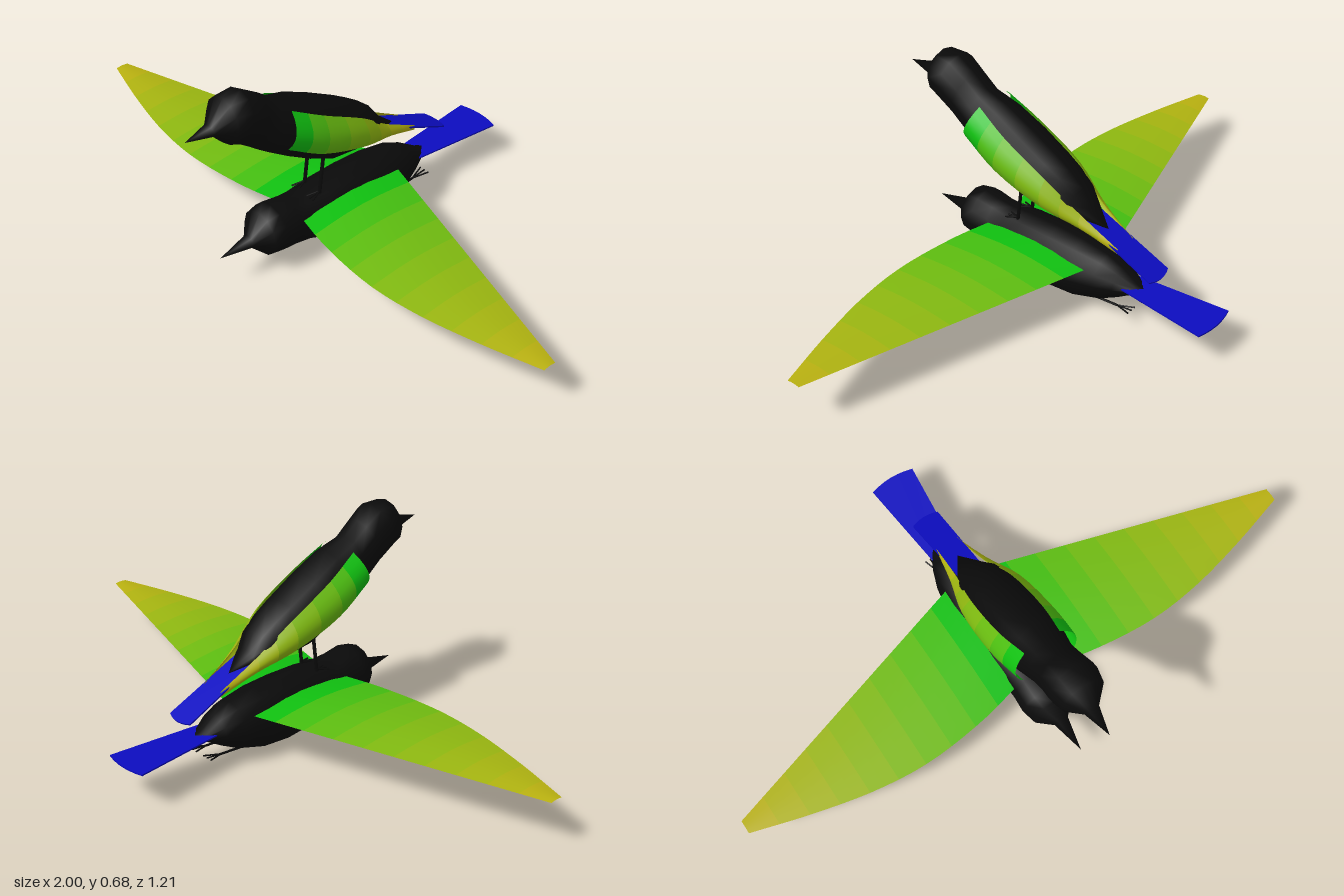
import * as THREE from 'three';
import { mergeVertices } from 'three/addons/utils/BufferGeometryUtils.js';

const mat = (color) => new THREE.MeshStandardMaterial({ color, side: THREE.DoubleSide });
const BLACK = mat(0x0a0a0a);
const BLUE = mat(0x0c0cc0);
const ROOT = new THREE.Color(0x10c010);
const TIP = new THREE.Color(0xb8b010);

function add(parent, name, geometry, material) {
  const mesh = new THREE.Mesh(geometry, material);
  mesh.name = name;
  parent.add(mesh);
  return mesh;
}

// Smooth surface from a point function over a grid
function surface(rows, cols, point) {
  const pos = [], idx = [];
  for (let i = 0; i <= rows; i++)
    for (let j = 0; j <= cols; j++) pos.push(...point(i / rows, j / cols, i));
  for (let i = 0; i < rows; i++)
    for (let j = 0; j < cols; j++) {
      const a = i * (cols + 1) + j, b = a + cols + 1;
      idx.push(a, a + 1, b, a + 1, b + 1, b);
    }
  let g = new THREE.BufferGeometry();
  g.setAttribute('position', new THREE.Float32BufferAttribute(pos, 3));
  g.setIndex(idx);
  g = mergeVertices(g, 1e-5);
  g.computeVertexNormals();
  return g;
}

// Body loft; each ring is [topZ, topY, bottomZ, bottomY, halfWidth]
function body(rings) {
  return surface(rings.length - 1, 12, (u, v, i) => {
    const [tz, ty, bz, by, w] = rings[i];
    const a = v * Math.PI * 2, c = Math.cos(a);
    return [w * Math.sin(a), (ty + by) / 2 + c * (ty - by) / 2, (tz + bz) / 2 + c * (tz - bz) / 2];
  });
}

// Wing cut into spanwise bands that fade from green to yellow
function wing(name, bands, cols, point) {
  const group = new THREE.Group();
  group.name = name;
  for (let k = 0; k < bands; k++) {
    const color = ROOT.clone().lerp(TIP, k / (bands - 1));
    add(group, 'featherBand', surface(2, cols, (u, v) => point((k + u) / bands, v)), mat(color));
  }
  return group;
}

// Thin flat tail running towards -z with a slightly rounded end
function tail(parent, w0, w1, length, y, z, tilt) {
  const s = new THREE.Shape();
  s.moveTo(-w0, 0);
  s.lineTo(w0, 0);
  s.lineTo(w1, length - 0.012);
  s.quadraticCurveTo(0, length + 0.012, -w1, length - 0.012);
  const g = new THREE.ExtrudeGeometry(s, { depth: 0.005, bevelEnabled: false, curveSegments: 6 });
  g.rotateX(-Math.PI / 2);
  const mesh = add(parent, 'tail', g, BLUE);
  mesh.position.set(0, y, z);
  mesh.rotation.x = tilt;
}

// Thin rod between two points
function rod(parent, name, from, to, r) {
  const a = new THREE.Vector3(...from), b = new THREE.Vector3(...to);
  const mesh = add(parent, name, new THREE.CylinderGeometry(r, r, a.distanceTo(b), 6), BLACK);
  mesh.position.copy(a).lerp(b, 0.5);
  mesh.quaternion.setFromUnitVectors(new THREE.Vector3(0, 1, 0), b.sub(a).normalize());
}

const spline = (pts) => new THREE.CatmullRomCurve3(pts.map((p) => new THREE.Vector3(...p)));

function flyingBird() {
  const bird = new THREE.Group();
  bird.name = 'flyingBird';
  const rings = [
    [0.5, 0.12, 0], [0.39, 0.145, 0.105, 0.025], [0.345, 0.21, 0.06, 0.075],
    [0.3, 0.218, 0.055, 0.085], [0.24, 0.21, 0.047, 0.08], [0.18, 0.206, 0.038, 0.085],
    [0.11, 0.213, 0.012, 0.098], [0, 0.215, 0.002, 0.103], [-0.1, 0.211, 0.01, 0.1],
    [-0.2, 0.197, 0.04, 0.082], [-0.26, 0.172, 0.072, 0.06], [-0.32, 0.133, 0.11, 0.028], [-0.39, 0.125, 0],
  ].map((r) => (r.length === 3 ? [r[0], r[1], r[0], r[1], 0] : [r[0], r[1], r[0], r[2], r[3]]));
  add(bird, 'body', body(rings), BLACK);
  tail(bird, 0.04, 0.077, 0.36, 0.126, -0.25, 0);

  // Spread wings: curved leading edge, straight trailing edge, light camber
  const lead = spline([[0.05, 0, 0.225], [0.2, 0, 0.26], [0.42, 0, 0.282], [0.6, 0, 0.267], [0.8, 0, 0.223], [1, 0, 0.165]]);
  for (const side of [1, -1]) {
    bird.add(wing(side > 0 ? 'leftWing' : 'rightWing', 10, 6, (u, v) => {
      const p = lead.getPointAt(u);
      const back = -0.17 + 0.29 * (p.x - 0.05) / 0.95;
      const y = 0.162 + 0.018 * Math.sin(Math.PI * v) * (1 - 0.85 * u);
      return [side * p.x, y, p.z + (back - p.z) * v];
    }));
    // Trailing legs with spread toes
    const x = side * 0.035;
    rod(bird, 'leg', [x, 0.045, -0.17], [x, 0.053, -0.265], 0.004);
    for (const t of [-1, 0, 1])
      rod(bird, 'toe', [x, 0.053, -0.265], [x + t * 0.018, 0.06, -0.32], 0.0025);
  }
  return bird;
}

function perchedBird() {
  const bird = new THREE.Group();
  bird.name = 'perchedBird';
  add(bird, 'body', body([
    [0.6, 0.597, 0.6, 0.597, 0], [0.515, 0.618, 0.508, 0.578, 0.025], [0.46, 0.686, 0.47, 0.537, 0.073],
    [0.395, 0.686, 0.44, 0.525, 0.084], [0.335, 0.648, 0.385, 0.483, 0.078], [0.28, 0.605, 0.34, 0.447, 0.078],
    [0.2, 0.58, 0.27, 0.4, 0.094], [0.1, 0.53, 0.19, 0.352, 0.102], [0, 0.475, 0.1, 0.307, 0.099],
    [-0.05, 0.443, 0.03, 0.297, 0.09], [-0.1, 0.4, -0.05, 0.294, 0.074], [-0.13, 0.352, -0.14, 0.303, 0.042],
    [-0.2, 0.294, -0.2, 0.294, 0],
  ]), BLACK);
  tail(bird, 0.042, 0.047, 0.307, 0.322, -0.12, -0.41);

  // Folded wings hugging the flanks
  const top = spline([[0.062, 0.58, 0.26], [0.077, 0.52, 0.15], [0.074, 0.433, -0.01], [0.05, 0.342, -0.13], [0.038, 0.268, -0.265]]);
  const low = spline([[0.09, 0.475, 0.3], [0.1, 0.402, 0.17], [0.093, 0.34, -0.01], [0.06, 0.297, -0.14], [0.038, 0.25, -0.265]]);
  for (const side of [1, -1]) {
    bird.add(wing(side > 0 ? 'leftFoldedWing' : 'rightFoldedWing', 8, 6, (u, v) => {
      const p = top.getPoint(u).lerp(low.getPoint(u), v);
      const bulge = 0.03 * (1 - u * u) * 4 * v * (1 - v);
      return [side * (p.x + bulge), p.y, p.z];
    }));
    // Legs and toes standing on the lower back
    const x = side * 0.035;
    rod(bird, 'leg', [x, 0.33, 0.118], [x, 0.2, 0.135], 0.006);
    for (const t of [-1, 0, 1])
      rod(bird, 'toe', [x, 0.207, 0.133], [x + t * 0.015, 0.2, 0.175], 0.003);
  }
  return bird;
}

export function createModel() {
  const model = new THREE.Group();
  model.name = 'birdPair';
  model.add(flyingBird(), perchedBird());
  return model;
}
